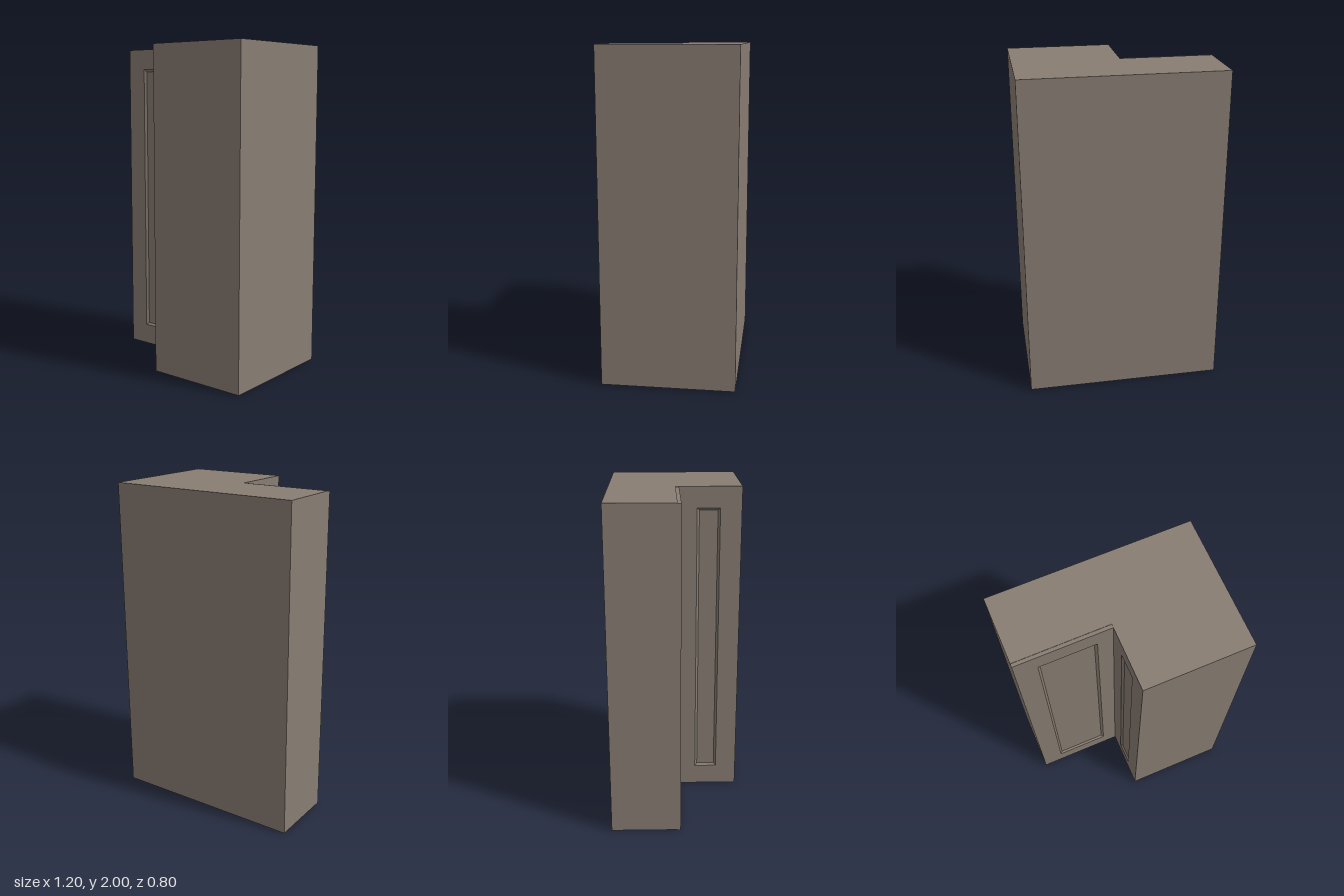
import * as THREE from 'three';

const material = new THREE.MeshStandardMaterial({ color: 0x887d73 });

// Door slab with a bevelled, sunken centre panel, lofted through rectangular rings.
// Its back lies on z = 0 and its lower left corner is the origin.
function doorGeometry(width, height, thickness, frame, bevel, depth) {
  const ring = (inset, z) => [
    [inset, inset, z], [width - inset, inset, z],
    [width - inset, height - inset, z], [inset, height - inset, z],
  ];
  const rings = [
    ring(0, 0),
    ring(0, thickness),
    ring(frame, thickness),
    ring(frame + bevel, thickness - depth),
  ];
  const points = [];
  const quad = (a, b, c, d) => points.push(...a, ...b, ...c, ...a, ...c, ...d);
  for (let r = 0; r < rings.length - 1; r++) {
    for (let i = 0; i < 4; i++) {
      const j = (i + 1) % 4;
      quad(rings[r][i], rings[r][j], rings[r + 1][j], rings[r + 1][i]);
    }
  }
  quad(...rings[3]);
  quad(...[...rings[0]].reverse());
  const geometry = new THREE.BufferGeometry();
  geometry.setAttribute('position', new THREE.Float32BufferAttribute(points, 3));
  geometry.computeVertexNormals();
  return geometry;
}

export function createModel() {
  const group = new THREE.Group();
  const add = (name, geometry) => {
    const mesh = new THREE.Mesh(geometry, material);
    mesh.name = name;
    group.add(mesh);
    return mesh;
  };

  // L-shaped carcass, drawn in plan (shape y is -z) and raised
  const plan = new THREE.Shape([
    [-0.6, 0.4], [-0.6, 0], [0, 0], [0, -0.4], [0.6, -0.4], [0.6, 0.4],
  ].map(([x, y]) => new THREE.Vector2(x, y)));
  const carcass = new THREE.ExtrudeGeometry(plan, { depth: 1.997, bevelEnabled: false });
  carcass.rotateX(-Math.PI / 2);
  add('cornerCarcass', carcass).position.y = 0.003;

  // Door on the front of the back wing
  add('frontDoor', doorGeometry(0.6, 1.997, 0.021, 0.13, 0.014, 0.012))
    .position.set(-0.6, 0, 0);

  // Door on the inner side of the forward wing, facing -x
  const sideDoor = add('sideDoor', doorGeometry(0.4, 1.997, 0.038, 0.13, 0.014, 0.012));
  sideDoor.rotation.y = -Math.PI / 2;
  sideDoor.position.set(0, 0.003, 0);

  return group;
}
